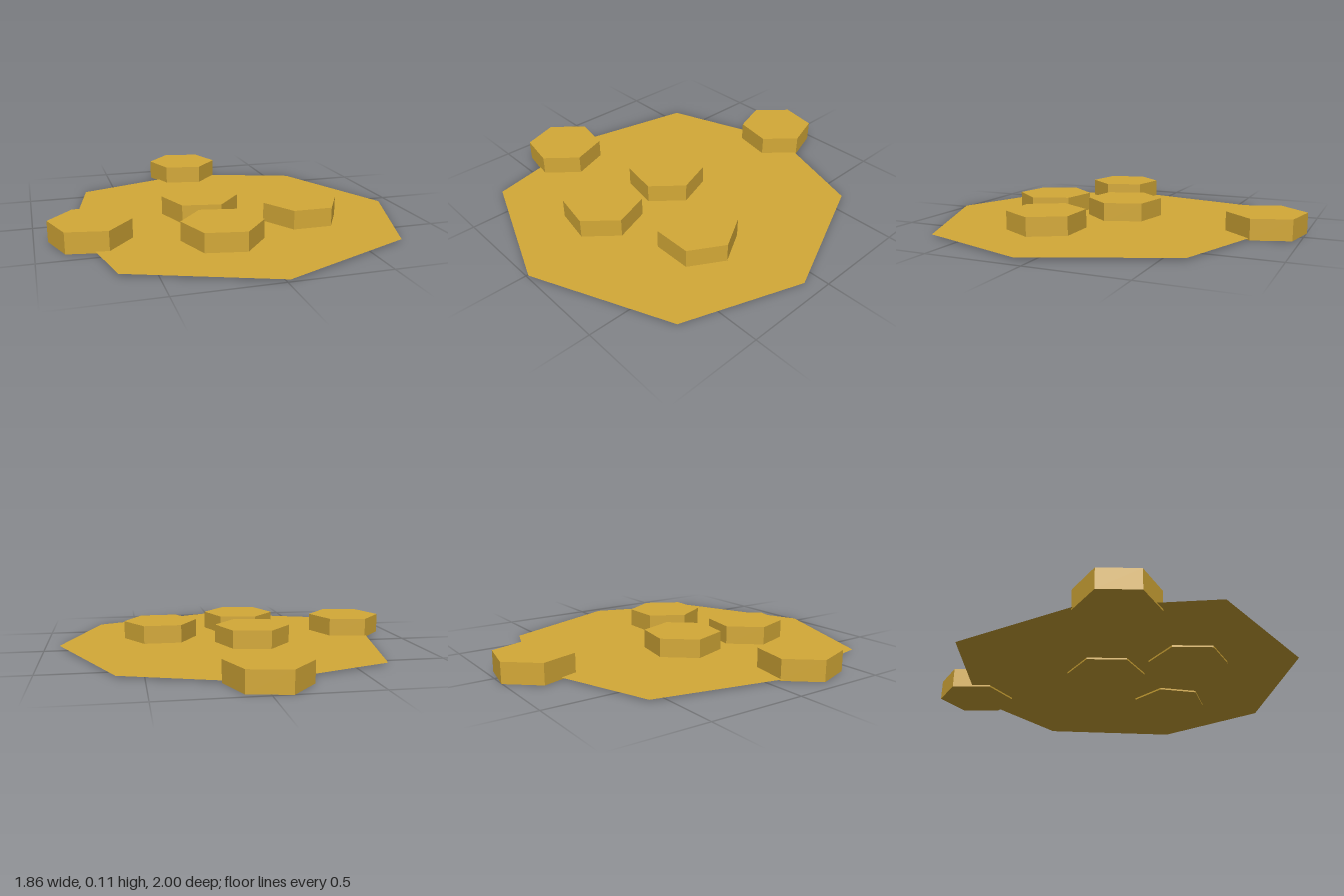
import * as THREE from 'three';

const COIN_RADIUS = 0.204;
const COIN_HEIGHT = 0.107;
const SHEET_Y = 0.009;

// outline of the flat sheet, as [x, z]
const SHEET_OUTLINE = [
  [0.01, -0.82], [0.63, -0.605], [0.925, 0.085], [0.715, 0.69],
  [0.015, 0.995], [-0.665, 0.735], [-0.81, 0.08], [-0.675, -0.577],
];

// coins, as [x, z, turn in degrees]
const COINS = [
  [-0.027, -0.81, 11],
  [-0.119, 0.008, 10.5],
  [-0.119, 0.451, 10.5],
  [-0.732, 0.264, 10.5],
  [0.37, 0.235, 0],
];

export function createModel() {
  const group = new THREE.Group();
  group.name = 'coinPile';

  const gold = new THREE.MeshStandardMaterial({ color: 0xd4a937, flatShading: true, side: THREE.DoubleSide });
  gold.name = 'gold';

  // thin irregular octagonal sheet
  const outline = new THREE.Shape(SHEET_OUTLINE.map(([x, z]) => new THREE.Vector2(x, -z)));
  const sheet = new THREE.Mesh(new THREE.ShapeGeometry(outline).rotateX(-Math.PI / 2), gold);
  sheet.name = 'baseSheet';
  sheet.position.y = SHEET_Y;
  group.add(sheet);

  // scattered six-sided coins
  const coinGeometry = new THREE.CylinderGeometry(COIN_RADIUS, COIN_RADIUS, COIN_HEIGHT, 6);
  COINS.forEach(([x, z, turn], i) => {
    const coin = new THREE.Mesh(coinGeometry, gold);
    coin.name = `coin${i + 1}`;
    coin.position.set(x, COIN_HEIGHT / 2, z);
    coin.rotation.y = THREE.MathUtils.degToRad(30 - turn);
    group.add(coin);
  });

  return group;
}
